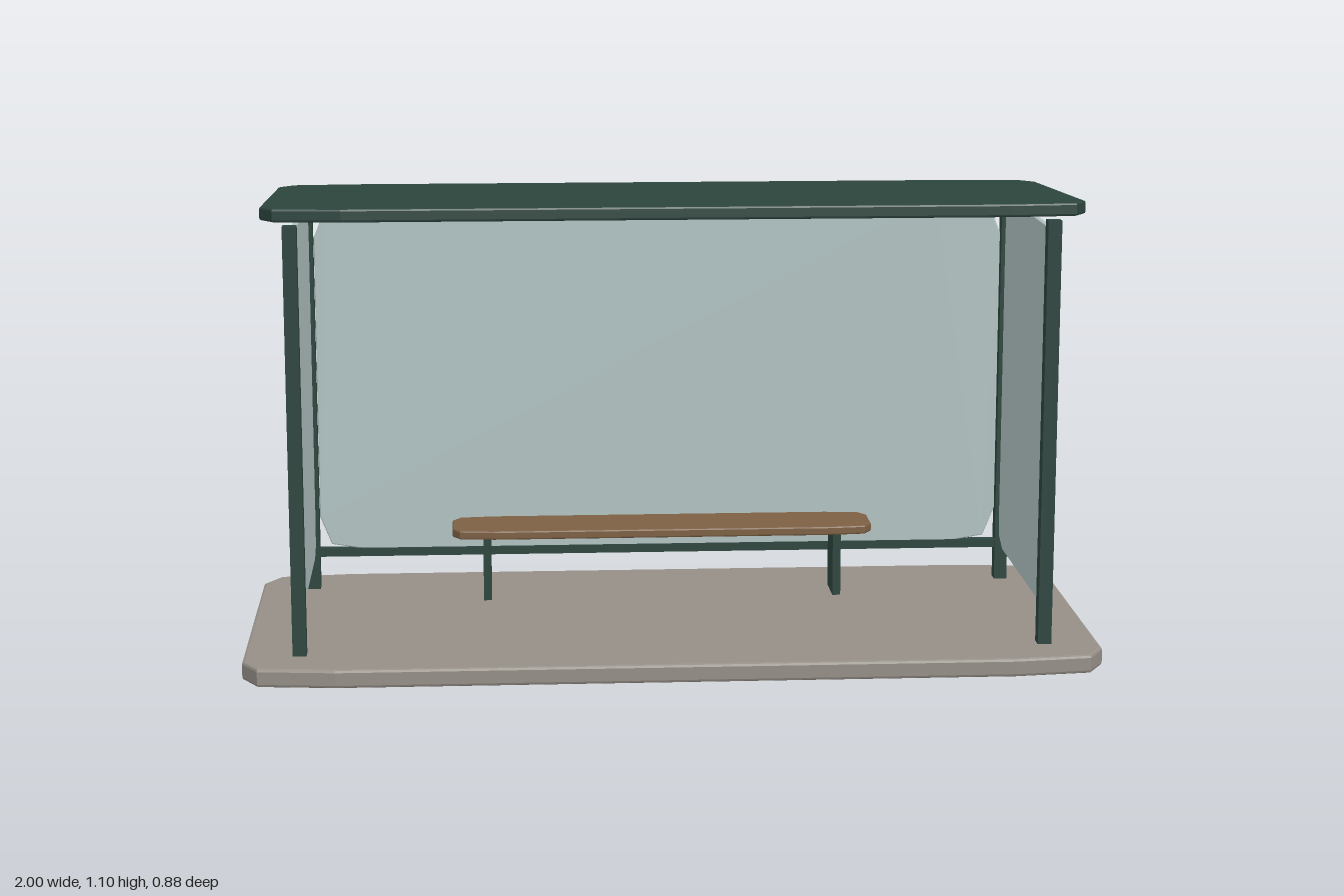
import * as THREE from 'three';

const makeMaterial = (name, color) => {
  const m = new THREE.MeshStandardMaterial({ color });
  m.name = name;
  return m;
};

// Flat plate w by h in XY, thickness t centred on z, with clipped soft corners.
// rx, ry: how far each corner reaches along the sides.
function plateGeometry(w, h, t, rx, ry, bevel) {
  const x = w / 2 - bevel, y = h / 2 - bevel;
  const corner = [[0, ry], [rx * 0.17, ry * 0.24], [rx, 0]];
  const points = [];
  for (const [sx, sy] of [[1, 1], [-1, 1], [-1, -1], [1, -1]]) {
    const part = corner.map(([dx, dy]) => new THREE.Vector2(sx * (x - dx), sy * (y - dy)));
    points.push(...(sx * sy > 0 ? part : part.reverse()));
  }
  const depth = t - 2 * bevel;
  const geometry = new THREE.ExtrudeGeometry(new THREE.Shape(points), {
    depth, bevelEnabled: true, bevelSize: bevel, bevelThickness: bevel, bevelSegments: 2,
  });
  return geometry.translate(0, 0, -depth / 2);
}

export function createModel() {
  const model = new THREE.Group();
  model.name = 'shelter';
  const green = makeMaterial('dark green metal', 0x2d453e);
  const glass = makeMaterial('pale glass', 0xb3c4c4);
  const stone = makeMaterial('grey concrete', 0x958f87);
  const wood = makeMaterial('brown wood', 0x7d6044);

  const add = (name, geometry, material, x, y, z) => {
    const mesh = new THREE.Mesh(geometry, material);
    mesh.name = name;
    mesh.position.set(x, y, z);
    model.add(mesh);
    return mesh;
  };
  const box = (name, w, h, d, x, y, z) =>
    add(name, new THREE.BoxGeometry(w, h, d), green, x, y, z);
  const slab = (w, d, t, rx, rz, bevel) =>
    plateGeometry(w, d, t, rx, rz, bevel).rotateX(-Math.PI / 2);

  // Ground slab and sloping roof
  add('base', slab(2, 0.88, 0.044, 0.21, 0.08, 0.007), stone, 0, 0.022, 0);
  const roof = add('roof', slab(1.866, 0.78, 0.03, 0.18, 0.08, 0.005), green, 0, 1.064, 0.042);
  roof.rotation.x = -0.051;

  // Corner posts and side glass
  const sideGlass = plateGeometry(0.574, 0.89, 0.014, 0.052, 0.09, 0.003).rotateY(Math.PI / 2);
  for (const [side, sx] of [['left', 1], ['right', -1]]) {
    box(side + 'FrontPost', 0.032, 1.003, 0.034, sx * 0.87, 0.5435, 0.305);
    box(side + 'BackPost', 0.032, 1.003, 0.034, sx * 0.87, 0.5435, -0.305);
    add(side + 'GlassPanel', sideGlass, glass, sx * 0.87, 0.579, 0);
    box(side + 'BenchLeg', 0.02, 0.166, 0.108, sx * 0.434, 0.124, -0.207);
  }

  // Back wall and its lower rail
  add('backGlassPanel', plateGeometry(1.704, 0.89, 0.014, 0.16, 0.09, 0.003), glass, 0, 0.58, -0.305);
  box('backRail', 1.72, 0.021, 0.021, 0, 0.136, -0.305);

  // Bench seat
  add('benchSeat', slab(1.04, 0.164, 0.022, 0.1, 0.035, 0.004), wood, 0, 0.215, -0.207);

  return model;
}
